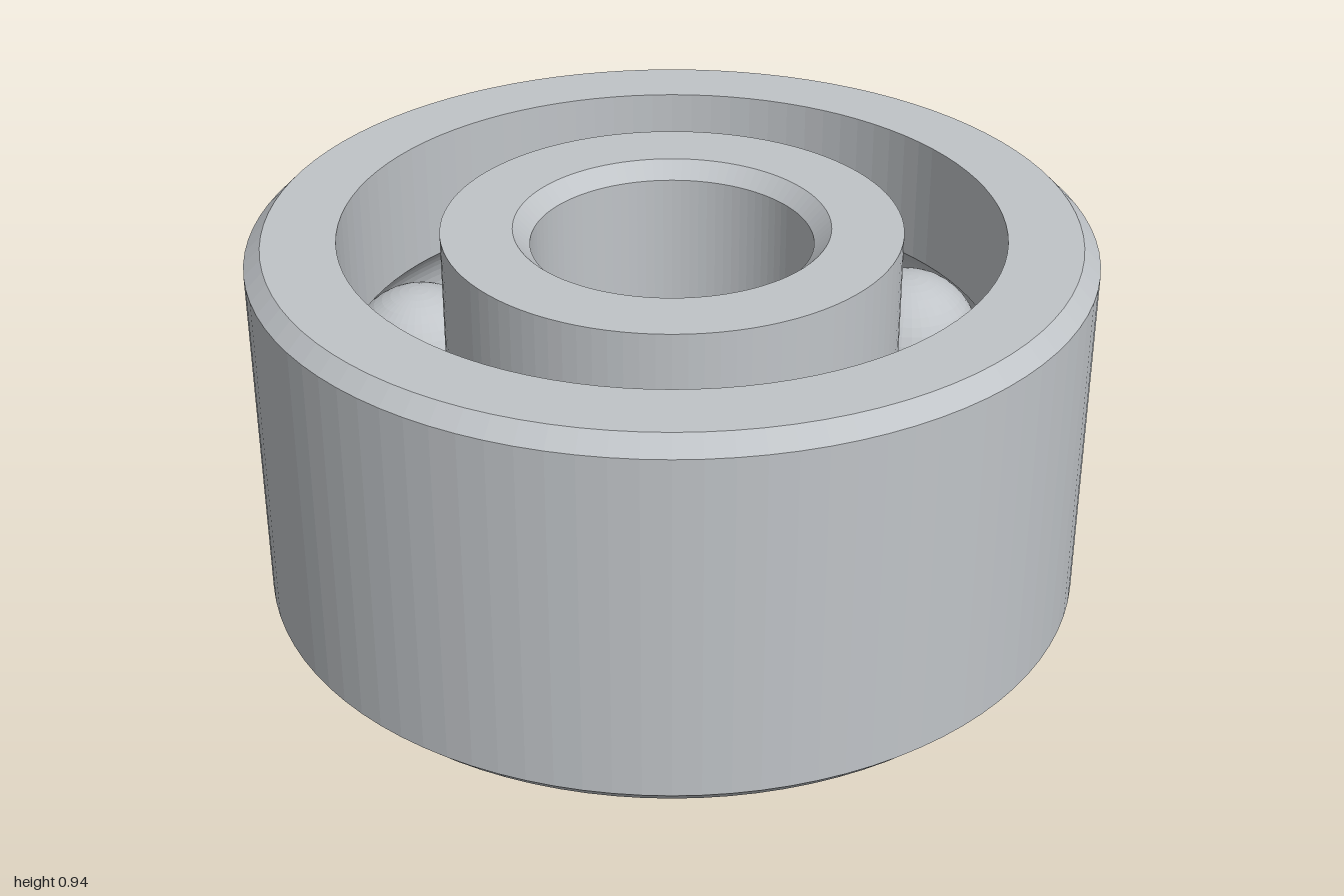
import * as THREE from 'three';

const H = 0.935;        // bearing width
const C = 0.04;         // chamfer
const PITCH = 0.665;    // radius of the ball circle
const BALL = 0.185;
const GROOVE = 0.187;   // raceway radius
const GAP = 0.12;       // half the gap between the rings
const SEGMENTS = 96;

// Raceway arc around the ball centre, from one angle to another
function raceway(from, to, steps = 16) {
  return Array.from({ length: steps + 1 }, (_, i) => {
    const t = from + (to - from) * i / steps;
    return [PITCH + GROOVE * Math.cos(t), H / 2 + GROOVE * Math.sin(t)];
  });
}

// Closed, counter-clockwise (radius, height) profile turned into a ring
function ring(name, profile, material) {
  const points = [...profile, profile[0]].map(([r, y]) => new THREE.Vector2(r, y));
  const mesh = new THREE.Mesh(new THREE.LatheGeometry(points, SEGMENTS), material);
  mesh.name = name;
  return mesh;
}

export function createModel() {
  const group = new THREE.Group();
  group.name = 'ballBearing';
  const steel = new THREE.MeshStandardMaterial({ color: 0xc0c4c8, flatShading: true });
  steel.name = 'steel';

  const a = Math.acos(GAP / GROOVE);

  // Outer ring, chamfered outside, grooved inside
  const ro = PITCH + GAP;
  group.add(ring('outerRing', [
    [ro, 0], [1 - C, 0], [1, C], [1, H - C], [1 - C, H], [ro, H],
    ...raceway(a, -a),
  ], steel));

  // Inner ring, grooved outside, chamfered bore
  const ri = PITCH - GAP, bore = 0.335;
  group.add(ring('innerRing', [
    [bore + C, 0], [ri, 0],
    ...raceway(Math.PI + a, Math.PI - a),
    [ri, H], [bore + C, H], [bore, H - C], [bore, C],
  ], steel));

  // Eight balls between the rings
  const ballGeometry = new THREE.SphereGeometry(BALL, 40, 24);
  const balls = new THREE.Group();
  balls.name = 'balls';
  for (let i = 0; i < 8; i++) {
    const t = i * Math.PI / 4;
    const ball = new THREE.Mesh(ballGeometry, steel);
    ball.name = 'ball';
    ball.position.set(PITCH * Math.cos(t), H / 2, PITCH * Math.sin(t));
    balls.add(ball);
  }
  group.add(balls);
  return group;
}
